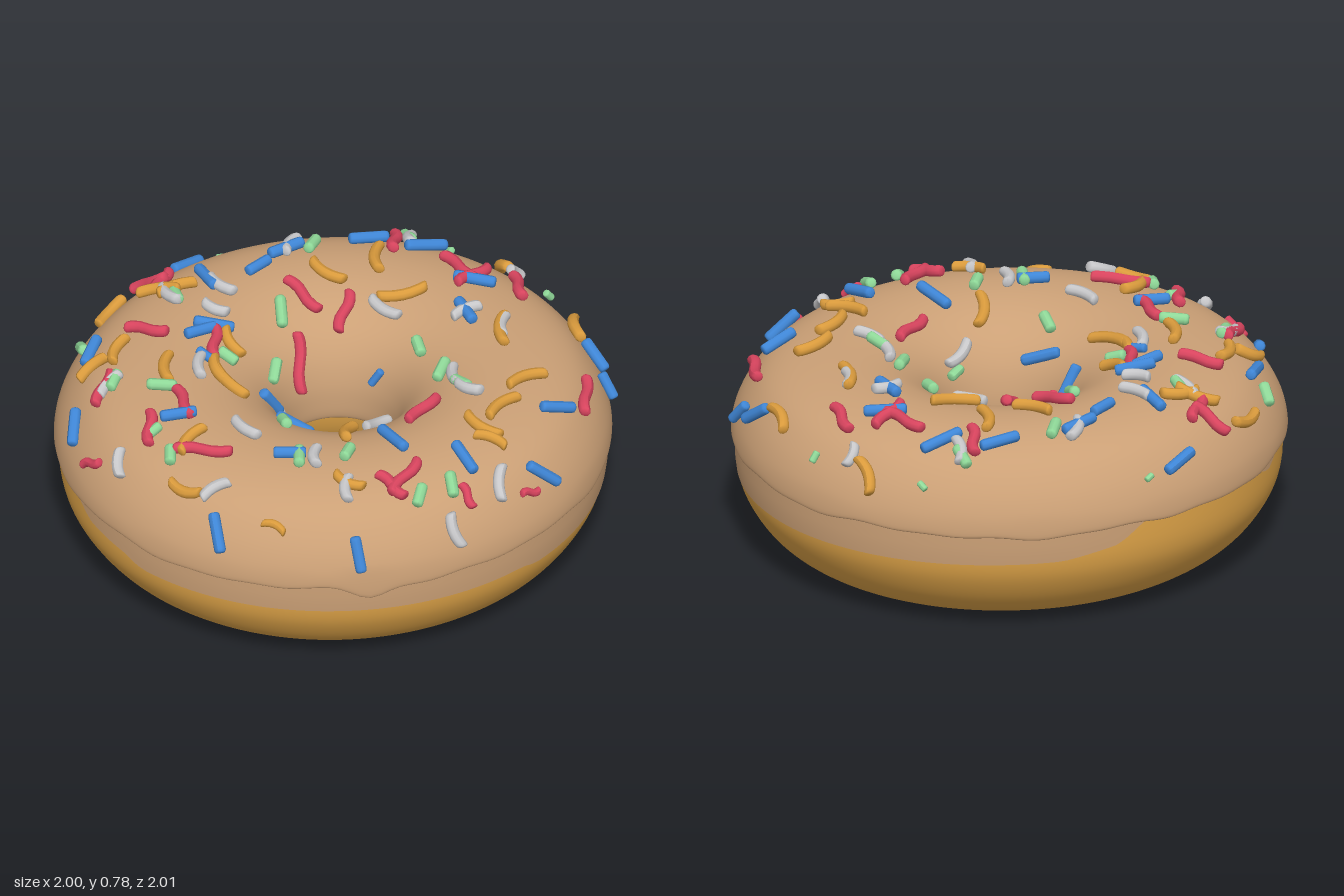
import * as THREE from 'three';
import { mergeVertices } from 'three/addons/utils/BufferGeometryUtils.js';

const material = (name, color) => {
  const m = new THREE.MeshStandardMaterial({ color });
  m.name = name;
  return m;
};

const smooth = (points, n) =>
  new THREE.SplineCurve(points.map(([r, y]) => new THREE.Vector2(r, y))).getPoints(n);

// Straight-line interpolation through [key, value] pairs with rising keys
function lookup(table, key) {
  for (let i = 1; i < table.length; i++) {
    const [a, va] = table[i - 1], [b, vb] = table[i];
    if (key <= b) return va + (vb - va) * Math.max(0, (key - a) / (b - a));
  }
  return table[table.length - 1][1];
}

// The outside is slightly oval, longest along the diagonal; the hole stays round
const oval = (r, a) => 1 - 0.028 * Math.sin(2 * a) * Math.min(1, Math.max(0, (r - 0.2) / 0.6));

// Lathe whose rings are reshaped by rule(r, y, degrees) -> [r, y]; the hole sits slightly off centre
function ring(profile, rule = (r, y) => [r, y]) {
  const raw = new THREE.LatheGeometry(profile, 160);
  raw.deleteAttribute('uv');
  raw.deleteAttribute('normal');
  const geo = mergeVertices(raw, 1e-5);
  const p = geo.attributes.position;
  for (let i = 0; i < p.count; i++) {
    const a = Math.atan2(p.getZ(i), p.getX(i));
    const deg = (a * 180 / Math.PI + 360) % 360;
    const [r, y] = rule(Math.hypot(p.getX(i), p.getZ(i)), p.getY(i), deg);
    const shift = Math.max(0, (1 - r) / 0.8);
    const R = r * oval(r, a);
    p.setXYZ(i, R * Math.cos(a) + 0.015 * shift, y, R * Math.sin(a) * 0.99 - 0.02 * shift);
  }
  geo.computeVertexNormals();
  return geo;
}

// Profiles as [radius, height]
const doughProfile = smooth([[0.228, 0.42], [0.225, 0.32], [0.255, 0.21], [0.33, 0.1], [0.44, 0.025],
  [0.54, 0], [0.65, 0], [0.77, 0.03], [0.875, 0.105], [0.948, 0.21], [0.978, 0.31], [0.98, 0.45]], 60);
const icingProfile = smooth([[0.96, 0.43], [0.985, 0.417], [0.998, 0.43], [0.985, 0.5], [0.945, 0.58],
  [0.88, 0.655], [0.8, 0.7], [0.7, 0.725], [0.6, 0.732], [0.5, 0.723], [0.4, 0.693], [0.31, 0.635],
  [0.248, 0.555], [0.214, 0.46], [0.205, 0.37], [0.21, 0.315], [0.23, 0.305]], 80);

// Wavy lower rim of the icing, with one drip at the front
function rimRule(r, y, deg) {
  if (r < 0.6) return [r, y];
  const t = deg * Math.PI / 180;
  const wave = 0.005 * Math.sin(7 * t) + 0.004 * Math.sin(13 * t + 1) + 0.003 * Math.sin(23 * t + 2)
    - 0.045 * Math.exp(-(((deg - 52) / 5) ** 2));
  const k = Math.min(1, Math.max(0, (0.5 - y) / 0.08));
  return [r, y + wave * k];
}

// Lower edge of the pale band on the dough, by direction in degrees
const bandEdge = [[0, 0.285], [10, 0.285], [14, 0.305], [60, 0.31], [105, 0.31], [110, 0.34], [122, 0.36],
  [130, 0.43], [166, 0.43], [174, 0.38], [182, 0.43], [215, 0.43], [222, 0.35], [235, 0.31],
  [300, 0.29], [360, 0.285]];

// Sprinkle: a blunt-ended rod along y, bent into an arc or a wave
function sprinkleGeometry(length, bend, wavy) {
  const R = 0.0215, h = length / 2;
  const profile = [[0, -h], [R * 0.65, -h], [R * 0.92, -h + 0.005], [R, -h + 0.013]];
  for (let k = -2; k <= 2; k++) profile.push([R, k * h / 3]);
  profile.push([R, h - 0.013], [R * 0.92, h - 0.005], [R * 0.65, h], [0, h]);
  const geo = new THREE.LatheGeometry(profile.map(([r, y]) => new THREE.Vector2(r, y)), 10);
  const p = geo.attributes.position;
  for (let i = 0; i < p.count; i++) {
    const u = p.getY(i) / h;
    p.setX(i, p.getX(i) + bend * (wavy ? Math.sin(u * Math.PI) : 0.5 - u * u));
  }
  geo.computeVertexNormals();
  return geo;
}

// Matrix that rests a sprinkle on the icing at x, z, turned by deg as seen from above
function restOnIcing(x, z, deg, size) {
  const dx = x - 0.008, dz = z + 0.01;
  const a = Math.atan2(dz, dx), far = Math.hypot(dx, dz);
  const stretch = oval(far, a);
  const r = Math.min(0.96, Math.max(0.214, far / stretch));
  let i = 12;
  while (i < icingProfile.length - 2 && icingProfile[i + 1].x > r) i++;
  const p = icingProfile[i], q = icingProfile[i + 1];
  const y = p.y + (q.y - p.y) * Math.min(1, Math.max(0, (p.x - r) / (p.x - q.x)));
  const slope = new THREE.Vector2(q.y - p.y, p.x - q.x).normalize();
  const n = new THREE.Vector3(slope.x * Math.cos(a), slope.y, slope.x * Math.sin(a));
  const c = Math.cos(deg * Math.PI / 180), s = Math.sin(deg * Math.PI / 180);
  const t = new THREE.Vector3(c, -(n.x * c + n.z * s) / Math.max(0.2, n.y), s);
  t.addScaledVector(n, -t.dot(n)).normalize();
  const side = new THREE.Vector3().crossVectors(t, n);
  const thick = Math.min(1, size + 0.2), lift = 0.017 * thick, R = r * stretch;
  return new THREE.Matrix4().makeBasis(side, t, n)
    .scale(new THREE.Vector3(thick, size, thick))
    .setPosition(R * Math.cos(a) + 0.008 + n.x * lift, y + n.y * lift, R * Math.sin(a) - 0.01 + n.z * lift);
}

// Places given as x, z, degrees, size
function sprinkles(name, mat, geo, places) {
  const group = new THREE.Group();
  group.name = name + 'Sprinkles';
  for (let i = 0; i < places.length; i += 4) {
    const mesh = new THREE.Mesh(geo, mat);
    mesh.name = name + 'Sprinkle';
    restOnIcing(...places.slice(i, i + 4)).decompose(mesh.position, mesh.quaternion, mesh.scale);
    group.add(mesh);
  }
  return group;
}

export function createModel() {
  const model = new THREE.Group();
  model.name = 'doughnut';
  const icing = material('tan icing', 0xcba076);
  const add = (name, geo, mat) => {
    const mesh = new THREE.Mesh(geo, mat);
    mesh.name = name;
    model.add(mesh);
  };

  add('dough', ring(doughProfile), material('golden dough', 0xdfa448));
  add('icing', ring(icingProfile, rimRule), icing);

  // Thin pale band just under the icing
  const doughWall = doughProfile.filter(p => p.x > 0.7).map(p => [p.y, p.x]);
  const bandProfile = [0, 0.25, 0.5, 0.75, 1].map(k => new THREE.Vector2(0.98, k));
  add('paleBand', ring(bandProfile, (r, k, deg) => {
    const low = lookup(bandEdge, deg);
    const y = low + (0.445 - low) * k;
    return [lookup(doughWall, y) + 0.003, y];
  }), icing);

  model.add(sprinkles('blue', material('blue', 0x3f86d6), sprinkleGeometry(0.15, 0, false), [
    -0.83, -0.38, 105, 1, -0.07, -0.79, 130, 1.1, -0.27, -0.72, 135, 1, 0.2, -0.68, 160, 1.05,
    0.72, -0.64, 15, 0.9, 0.82, -0.56, 15, 0.7, -0.49, -0.5, 115, 1, -0.52, -0.35, 105, 0.75,
    0.27, -0.5, 35, 0.9, 0.82, -0.21, 125, 0.95, 0.92, 0.07, 140, 1, -0.49, 0.03, 152, 1,
    -0.51, 0.09, 120, 0.85, -0.65, -0.2, 35, 1, -0.02, 0.26, 170, 1, 0.43, 0.3, 28, 1.15,
    0.7, 0.25, 30, 1, -0.83, 0.31, 80, 0.95, -0.7, 0.65, 65, 1, -0.32, 0.57, 140, 0.9,
    -0.19, 0.15, 120, 0.9, 0.15, 0.57, 150, 0.8, 0.55, 0.76, 38, 0.9, 0.06, 0.93, 45, 1,
    -0.42, 0.2, 10, 0.6, 0.05, -0.24, 150, 0.5]));
  model.add(sprinkles('red', material('red', 0xd8445e), sprinkleGeometry(0.17, 0.01, true), [
    -0.18, -0.75, 60, 0.9, 0.11, -0.72, 20, 1.15, 0.18, -0.7, 100, 1.05, 0.34, -0.75, 45, 1,
    0.84, -0.37, 60, 1.15, -0.15, -0.34, 75, 1, -0.31, -0.31, 15, 1.1, -0.85, -0.14, 170, 1,
    -0.8, -0.14, 80, 0.9, -0.22, -0.12, 50, 1.35, 0.42, 0.06, 95, 1.1, -0.68, 0.18, 170, 1,
    -0.44, 0.11, 60, 1, 0.78, 0.37, 20, 0.6, 0.57, 0.46, 90, 1.15, 0.55, 0.52, 10, 0.85,
    -0.66, 0.52, 80, 1, -0.34, 0.5, 40, 1.05, -0.38, 0.67, 60, 1, -0.14, 0.7, 160, 1.3,
    -0.55, 0.79, 10, 0.6, 0.92, 0.16, 110, 0.5]));
  model.add(sprinkles('orange', material('orange', 0xd99a3c), sprinkleGeometry(0.17, 0.022, false), [
    0.16, -0.94, 45, 0.9, -0.17, -0.61, 60, 0.95, -0.29, -0.45, 10, 0.95, 0.01, -0.49, -40, 1.1,
    0.44, -0.47, 60, 1.05, 0.6, -0.71, 50, 0.95, 0.66, -0.26, 115, 1, 0.67, -0.07, 100, 1,
    -0.77, -0.07, 165, 1, -0.72, -0.1, 130, 0.9, -0.92, 0.02, 95, 0.95, -0.4, 0.06, 30, 0.8,
    -0.29, 0.27, 20, 1.1, -0.35, 0.24, 40, 0.9, 0.67, 0.07, 10, 1, 0.73, 0.11, 170, 0.75,
    0.25, 0.32, 70, 0.95, -0.5, 0.35, 60, 0.95, -0.77, 0.41, 120, 0.8, -0.72, 0.32, 80, 0.85,
    -0.21, 0.67, 95, 0.9, -0.12, 0.86, 5, 0.8, 0.25, 0.85, 175, 0.55, 0.41, 0.59, 0, 0.75]));
  model.add(sprinkles('white', material('pale grey', 0xc6c6c8), sprinkleGeometry(0.135, 0.016, false), [
    -0.15, -0.81, 60, 0.9, 0.24, -0.89, 100, 0.7, -0.49, -0.53, 80, 0.95, 0.43, -0.49, 65, 0.9,
    0.27, -0.5, 120, 0.9, -0.02, -0.41, 10, 1.05, 0.51, -0.11, 10, 0.9, 0.42, -0.17, 50, 0.9,
    -0.58, -0.18, 15, 1, -0.72, -0.05, 30, 1, -0.53, -0.05, 0, 0.8, 0.26, 0.12, 100, 1.05,
    0.84, 0.24, 60, 1.05, 0.79, 0.48, 20, 1, -0.07, 0.52, 20, 1.05, -0.42, 0.81, 60, 0.85,
    -0.01, 0.83, 130, 0.9, 0.42, 0.62, 60, 0.85, -0.41, 0.27, 60, 1, -0.17, 0.09, 110, 0.8,
    -0.65, 0.5, 100, 0.9, 0.24, 0.54, 60, 0.8]));
  model.add(sprinkles('green', material('green', 0x8fd898), sprinkleGeometry(0.1, 0, false), [
    -0.17, -0.83, 40, 1, -0.06, -0.94, 20, 0.4, 0.39, -0.88, 120, 0.45, -0.42, -0.57, 80, 0.95,
    -0.77, -0.51, 110, 0.35, 0.19, -0.31, 45, 0.85, 0.35, -0.2, 80, 1.05, 0.47, -0.13, 20, 0.95,
    -0.34, -0.2, 55, 1.25, -0.69, -0.05, 45, 0.8, -0.26, 0, 70, 1, 0.25, 0.06, 100, 0.7,
    -0.37, 0.14, 0, 0.8, -0.9, 0.25, 50, 0.95, 0, 0.36, 45, 0.9, 0.33, 0.46, 80, 0.8,
    -0.46, 0.45, 160, 1.1, -0.64, 0.48, 80, 0.9, 0.72, 0.38, 50, 1, 0.65, 0.49, 75, 0.9,
    -0.36, 0.68, 110, 0.7, -0.24, 0.76, 60, 0.8, 0.19, 0.57, 60, 1]));
  return model;
}
